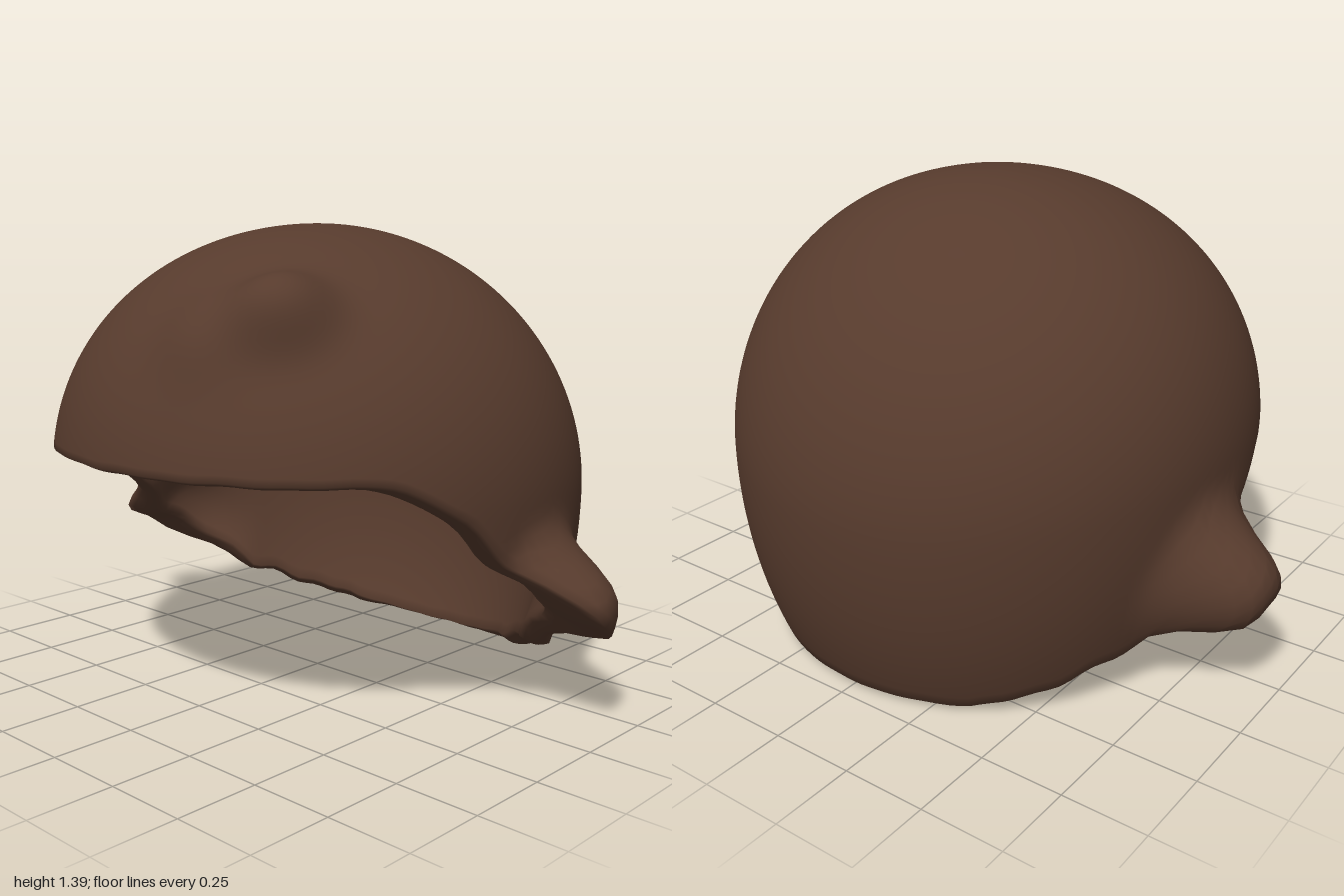
import * as THREE from 'three';
import { mergeVertices } from 'three/addons/utils/BufferGeometryUtils.js';

const CENTRE = new THREE.Vector3(0, 0.6, 0);

// Cut line of the rim: [z, y] from front to back
const RIM = [[0.85, 0.74], [0.44, 0.74], [0.4, 0.725], [0.25, 0.635], [0, 0.41], [-0.12, 0.325], [-0.22, 0.25],
  [-0.27, 0.175], [-0.42, 0.115], [-0.6, 0.02], [-0.85, 0.01]];

function rimHeight(z) {
  for (let i = 1; i < RIM.length; i++) {
    const [z0, y0] = RIM[i - 1], [z1, y1] = RIM[i];
    if (z >= z1) return y0 + (y1 - y0) * (z0 - z) / (z0 - z1);
  }
  return 0;
}

// Point on the dome: a = azimuth from the front, t = angle from the crown.
// The widest ring sits higher at the front and sides than at the back.
function domePoint(a, t, scale) {
  const c = Math.cos(t);
  const r = 0.8 * Math.sin(t) * (1 + 0.01 * Math.sin(2 * a) ** 2);
  const x = r * Math.sin(a), z = r * Math.cos(a);
  const lift = 0.06 * x * x + (z > 0 ? 0.08 : -0.1) * z * z;
  return new THREE.Vector3(x, (c > 0 ? 0.79 : 1.12) * c + lift, z).multiplyScalar(scale).add(CENTRE);
}

// Angle at which the dome meets the rim line, slightly ragged toward the back
function rimAngle(a, scale) {
  let lo = 0.3, hi = 2.6;
  const ragged = 0.006 * (Math.sin(a * 17) + Math.sin(a * 29 + 1)) * (Math.abs(Math.cos(a) + 0.25) < 0.6 ? 1 : 0.2);
  for (let k = 0; k < 30; k++) {
    const mid = (lo + hi) / 2, p = domePoint(a, mid, scale);
    if (p.y > rimHeight(p.z) + ragged) lo = mid; else hi = mid;
  }
  return lo;
}

// Raised tufts on the forehead: centre, radius, height
const TUFTS = [
  [new THREE.Vector3(0.35, 1.16, 0.49), 0.12, 0.1],
  [new THREE.Vector3(0.2, 1.1, 0.6), 0.14, 0.04],
];

// Side locks flare out of the rim, tufts swell out of the forehead
function sculpt(p, outer) {
  const base = p.clone();
  const dx = (Math.abs(base.x) - 0.76) / 0.3, dy = (base.y - 0.35) / 0.17, dz = (base.z + 0.095) / 0.165;
  const lock = Math.exp(-Math.pow(dx * dx + dy * dy + dz * dz, 2));
  p.x += Math.sign(p.x) * lock * (outer ? 0.22 : 0.1);
  p.y -= lock * (outer ? 0.03 : 0);
  if (outer) {
    const outward = base.clone().sub(CENTRE).normalize();
    for (const [centre, radius, height] of TUFTS) {
      p.addScaledVector(outward, height * Math.exp(-Math.pow(base.distanceTo(centre) / radius, 2.4)));
    }
  }
  return p;
}

// Closed shell: down the outside, round the rim, back up the inside
function shellGeometry() {
  const U = 144, V = 56, INNER = 0.89, LIP = 6;
  const positions = [], index = [];
  const rows = 2 * (V + 1) + LIP - 1;
  for (let i = 0; i < U; i++) {
    const a = (i / U) * Math.PI * 2;
    const endOut = rimAngle(a, 1), endIn = rimAngle(a, INNER);
    const column = [], inside = [];
    for (let j = 0; j <= V; j++) {
      column.push(sculpt(domePoint(a, endOut * j / V, 1), true));
      inside.unshift(sculpt(domePoint(a, endIn * j / V, INNER), false));
    }
    const from = column[V], to = inside[0];
    for (let k = 1; k < LIP; k++) {
      const p = from.clone().lerp(to, k / LIP);
      p.y -= 0.015 * Math.sin(Math.PI * k / LIP);
      column.push(p);
    }
    column.push(...inside);
    for (const p of column) positions.push(p.x, Math.max(p.y, 0), p.z);
  }
  for (let i = 0; i < U; i++) {
    for (let j = 0; j < rows - 1; j++) {
      const p = i * rows + j, q = ((i + 1) % U) * rows + j;
      index.push(p, p + 1, q, q, p + 1, q + 1);
    }
  }
  const geometry = new THREE.BufferGeometry();
  geometry.setAttribute('position', new THREE.Float32BufferAttribute(positions, 3));
  geometry.setIndex(index);
  const merged = mergeVertices(geometry, 1e-5);
  merged.computeVertexNormals();
  return merged;
}

export function createModel() {
  const group = new THREE.Group();
  group.name = 'hairCap';
  const material = new THREE.MeshStandardMaterial({ color: 0x573b2d });
  const shell = new THREE.Mesh(shellGeometry(), material);
  shell.name = 'hairShell';
  group.add(shell);
  return group;
}
